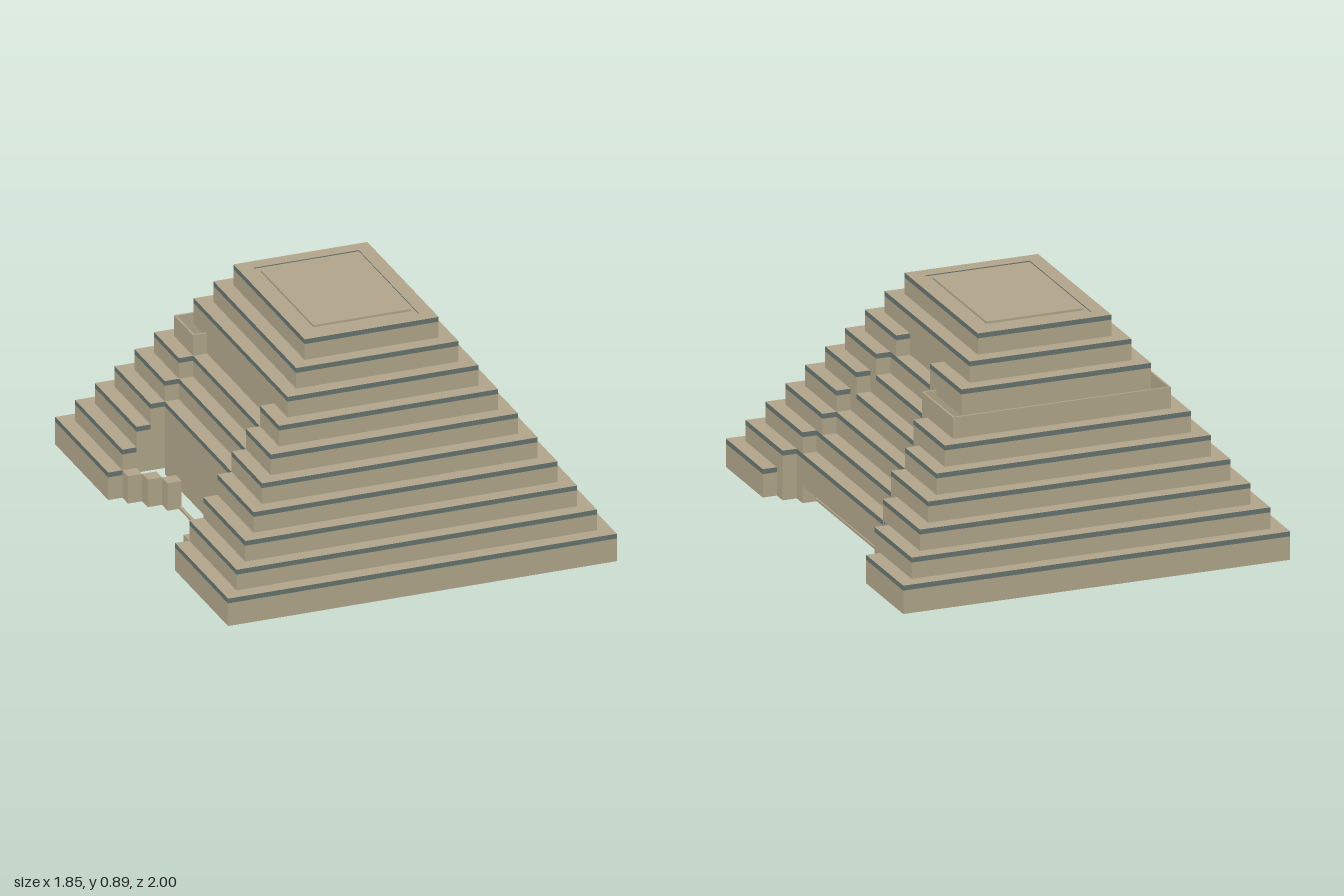
import * as THREE from 'three';

const TIERS = 10, STEP = 0.058, PITCH = 0.0861, FIRST = 0.115, BAND = 0.02, SKIN = 0.008;
const DOOR_TOP = 0.07;
const halfX = i => 0.797 - STEP * i;
const halfZ = i => 0.889 - STEP * i;
const topY = i => FIRST + PITCH * i;
const baseY = i => (i === 0 ? 0 : topY(i - 1) - BAND);

// Half widths of the recess in each flank, per tier (0 = no recess)
const rightCut = i => (i < 4 ? 0.518 - STEP * i : i < 8 ? 0.344 - STEP * (i - 4) : 0);
const leftCut = i => (i < 7 ? 0.344 : 0);

export function createModel() {
  const stone = new THREE.MeshStandardMaterial({ color: 0xb0a58a });
  const trim = new THREE.MeshStandardMaterial({ color: 0x66736f });
  stone.name = 'sandstone';
  trim.name = 'slateTrim';
  const ledgeMaterials = [trim, trim, stone, stone, trim, trim];

  const model = new THREE.Group();
  model.name = 'steppedPyramid';
  const body = new THREE.Group();
  body.name = 'pyramidBody';
  body.rotation.y = -0.1527;
  model.add(body);

  const block = (parent, name, x0, x1, y0, y1, z0, z1, material = stone) => {
    const mesh = new THREE.Mesh(
      new THREE.BoxGeometry(Math.abs(x1 - x0), y1 - y0, Math.abs(z1 - z0)), material);
    mesh.position.set((x0 + x1) / 2, (y0 + y1) / 2, (z0 + z1) / 2);
    mesh.name = name;
    parent.add(mesh);
  };

  for (let i = 0; i < TIERS; i++) {
    const tier = new THREE.Group();
    tier.name = 'tier' + (i + 1);
    body.add(tier);
    const a = halfX(i), b = halfZ(i), ai = halfX(i + 1), bi = halfZ(i + 1);
    const y0 = baseY(i), y1 = topY(i), yw = y1 - BAND;
    const brokenLedge = i === 6; // ledge missing around the back

    const ledge = (name, x0, x1, z0, z1) =>
      block(tier, name, x0, x1, yw, y1, z0, z1, ledgeMaterials);

    // Front and back faces with their ledges
    for (const [name, e] of [['front', 1], ['back', -1]]) {
      const broken = brokenLedge && e < 0;
      block(tier, name + 'Wall', -a, a, y0, broken ? y1 : yw, e * (b - SKIN), e * b);
      if (!broken) ledge(name + 'Ledge', -a, a, e * bi, e * b);
    }

    // Flanks, either whole or cut by a recess
    for (const [side, s, cut] of [['right', 1, rightCut(i)], ['left', -1, leftCut(i)]]) {
      const out = s * a, skin = s * (a - SKIN);
      if (!cut) {
        block(tier, side + 'Wall', skin, out, y0, yw, -b + SKIN, b - SKIN);
        ledge(side + 'Ledge', s * ai, out, -bi, bi);
        continue;
      }
      // The lower left recess is one upright wall set in at the fifth tier
      const ring = s < 0 ? Math.max(i + 1, i === 0 ? 1 : 4) : i + 1;
      const inner = s * halfX(ring);
      for (const e of [-1, 1]) {
        const broken = brokenLedge && e < 0;
        const yTop = broken ? y1 : yw;
        block(tier, side + 'Wall', skin, out, y0, yTop, e * cut, e * (b - SKIN));
        block(tier, side + 'RecessEnd', inner, skin, y0, yTop, e * cut, e * (cut + SKIN));
        if (!broken) ledge(side + 'Ledge', s * ai, out, e * cut, e * bi);
      }
      if (i === 0) continue;

      // Recessed wall; its ledge is hidden where it meets the tier above
      const hasLedge = s > 0 ? i < 7 : i > 2 && i < 6;
      block(tier, side + 'RecessWall', inner - s * SKIN, inner,
        i === 1 ? DOOR_TOP : y0, hasLedge ? yw : y1, -cut, cut);
      if (hasLedge) ledge(side + 'RecessLedge', s * halfX(ring + 1), inner, -cut, cut);
    }
  }

  // Door jambs stepping inward at ground level
  for (const [side, s, count, first] of [['right', 1, 2, 0.518], ['left', -1, 3, 0.344]]) {
    for (let r = 1; r <= count; r++) {
      const x0 = s * halfX(r + 1), x1 = s * halfX(r), z = first - STEP * r;
      for (const e of [-1, 1]) {
        block(body, side + 'JambFace', x1 - s * SKIN, x1, 0, FIRST, e * z, e * (z + STEP));
        block(body, side + 'JambSide', x0, x1, 0, FIRST, e * z, e * (z + SKIN));
        block(body, side + 'JambTop', x0, x1, FIRST - SKIN, FIRST, e * z, e * (z + STEP));
      }
    }
  }

  // Roof slab and door thresholds
  block(body, 'roofSlab', -0.2, 0.2, topY(9) - BAND, topY(9) + 0.005, -0.27, 0.27);
  block(body, 'roofSoffit', -halfX(10), halfX(10), topY(9) - BAND, topY(9) - 0.004,
    -halfZ(10), halfZ(10));
  block(body, 'rightThreshold', 0.611, 0.623, 0, 0.01, -0.402, 0.402);
  block(body, 'leftThreshold', -0.577, -0.565, 0, 0.01, -0.228, 0.228);

  return model;
}
